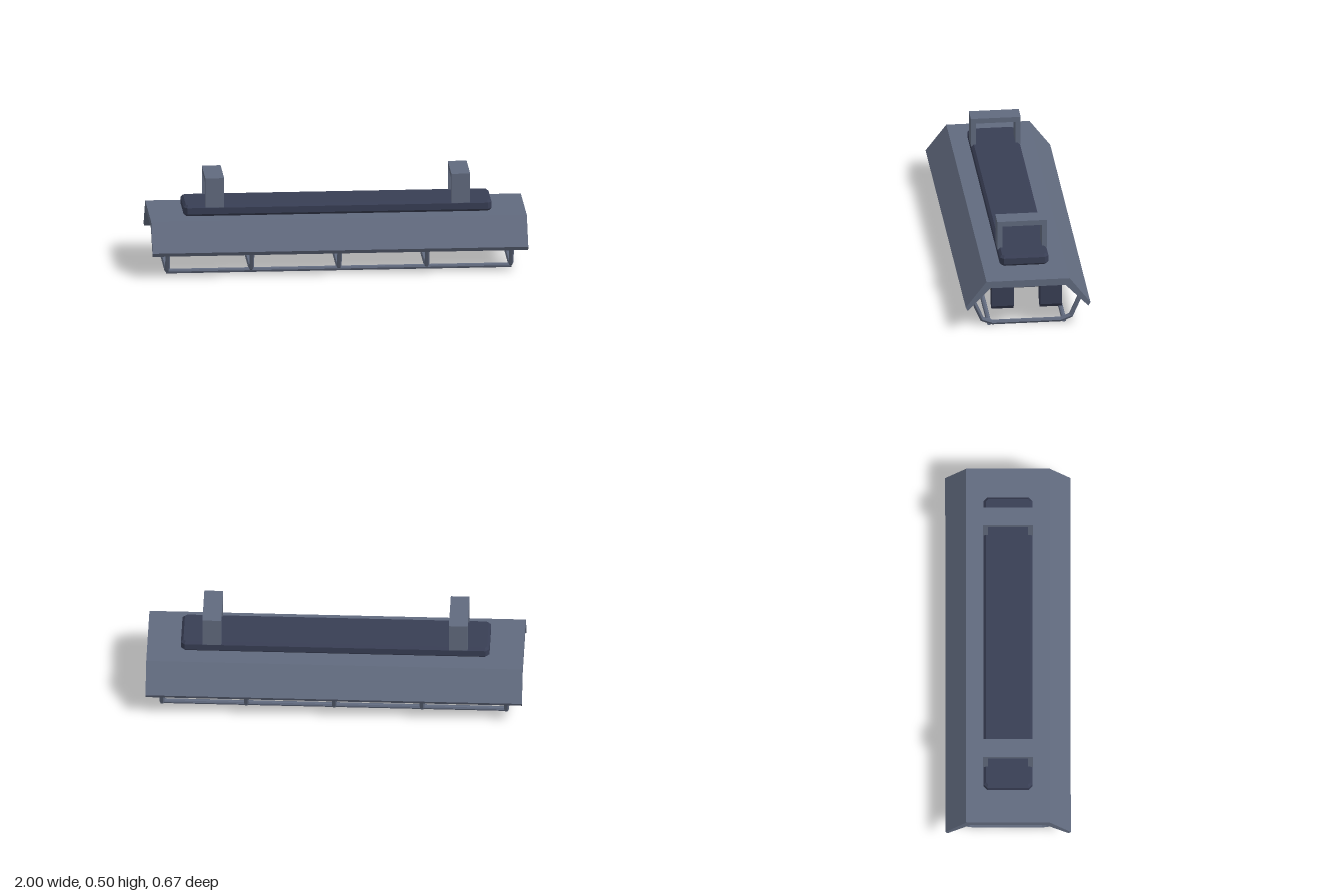
import * as THREE from 'three';

const material = (name, color) => {
  const m = new THREE.MeshStandardMaterial({ color });
  m.name = name;
  return m;
};

const shapeOf = (pts) => new THREE.Shape(pts.map(([a, b]) => new THREE.Vector2(a, b)));

// Extrudes an outline along its own normal, centred on it
function prism(shape, depth) {
  return new THREE.ExtrudeGeometry(shape, { depth, bevelEnabled: false }).translate(0, 0, -depth / 2);
}

// Outline given as [z, y], extruded along x
const prismX = (shape, length) => prism(shape, length).rotateY(-Math.PI / 2);

// Hexagonal bar with mitred bends, following [z, y] points
function bentBar(path, r) {
  const sides = 6, pos = [], index = [];
  const pts = path.map(([z, y]) => new THREE.Vector2(z, y));
  pts.forEach((p, i) => {
    const a = p.clone().sub(pts[Math.max(i - 1, 0)]).normalize();
    const b = pts[Math.min(i + 1, pts.length - 1)].clone().sub(p).normalize();
    const t = a.clone().add(b).normalize();
    const mitre = 1 / t.dot(i ? a : b);
    for (let k = 0; k < sides; k++) {
      const ang = (k / sides) * Math.PI * 2;
      const s = Math.sin(ang) * r * mitre;
      pos.push(Math.cos(ang) * r, p.y + t.x * s, p.x - t.y * s);
    }
  });
  for (let i = 0; i < pts.length - 1; i++) {
    for (let k = 0; k < sides; k++) {
      const a = i * sides + k, b = i * sides + (k + 1) % sides;
      index.push(a, b, b + sides, a, b + sides, a + sides);
    }
  }
  const last = (pts.length - 1) * sides;
  for (let k = 1; k < sides - 1; k++) {
    index.push(0, k + 1, k, last, last + k, last + k + 1);
  }
  const g = new THREE.BufferGeometry();
  g.setAttribute('position', new THREE.Float32BufferAttribute(pos, 3));
  g.setIndex(index);
  const flat = g.toNonIndexed();
  flat.computeVertexNormals();
  return flat;
}

export function createModel() {
  const model = new THREE.Group();
  model.name = 'hangingLamp';
  const slate = material('slate', 0x616a7e);
  const navy = material('navy', 0x383e54);
  const tan = material('tan', 0xb5a88c);
  tan.flatShading = true;
  slate.flatShading = true;
  navy.flatShading = true;

  const add = (name, geometry, mat, x = 0, y = 0, z = 0) => {
    const mesh = new THREE.Mesh(geometry, mat);
    mesh.name = name;
    mesh.position.set(x, y, z);
    model.add(mesh);
    return mesh;
  };

  // Sloped reflector housing, open underneath and at both ends
  const half = [[0.222, 0.29], [0.333, 0.145], [0.322, 0.125], [0.2, 0.252]];
  const mirrored = half.map(([z, y]) => [-z, y]).reverse();
  add('housing', prismX(shapeOf([...half, ...mirrored]), 2), slate);

  // Chamfered ballast box on top
  const bevel = 0.013, bx = 0.82 - bevel, bz = 0.13 - bevel, cut = 0.012;
  const plan = shapeOf([
    [bx - cut, -bz], [bx, -bz + cut], [bx, bz - cut], [bx - cut, bz],
    [-bx + cut, bz], [-bx, bz - cut], [-bx, -bz + cut], [-bx + cut, -bz],
  ]);
  const ballast = new THREE.ExtrudeGeometry(plan, {
    depth: 0.06 - 2 * bevel, bevelEnabled: true, bevelSegments: 1,
    bevelThickness: bevel, bevelSize: bevel,
  }).rotateX(-Math.PI / 2);
  add('ballastBox', ballast, navy, 0, 0.29 + bevel, 0);

  // Mounting brackets
  const bracket = prismX(shapeOf([
    [-0.133, 0.34], [-0.133, 0.5], [0.133, 0.5], [0.133, 0.34],
    [0.106, 0.34], [0.106, 0.472], [-0.106, 0.472], [-0.106, 0.34],
  ]), 0.1);
  for (const x of [-0.655, 0.655]) add('mountingBracket', bracket, slate, x);

  // Lamp tubes and their end sockets
  const socket = prism(shapeOf([
    [-0.04, 0.253], [-0.04, 0.122], [-0.015, 0.097],
    [0.015, 0.097], [0.04, 0.122], [0.04, 0.253],
  ]), 0.117);
  const tube = new THREE.CylinderGeometry(0.05, 0.05, 1.78, 16).rotateZ(Math.PI / 2);
  for (const z of [-0.129, 0.129]) {
    add('lampTube', tube, tan, 0, 0.145, z);
    for (const x of [-0.91, 0.91]) add('lampSocket', socket, navy, x, 0, z);
  }

  // Protective cage: bent ribs and two long rods
  const side = [[0.293, 0.165], [0.237, 0.036], [0.182, 0.015]];
  const rib = bentBar([...side, ...side.map(([z, y]) => [-z, y]).reverse()], 0.0127);
  for (const x of [-0.915, -0.467, 0, 0.467, 0.915]) add('cageRib', rib, slate, x);
  const rod = new THREE.CylinderGeometry(0.013, 0.013, 1.84, 8).rotateZ(Math.PI / 2);
  for (const z of [-0.2, 0.2]) add('cageRod', rod, slate, 0, 0.013, z);

  return model;
}
